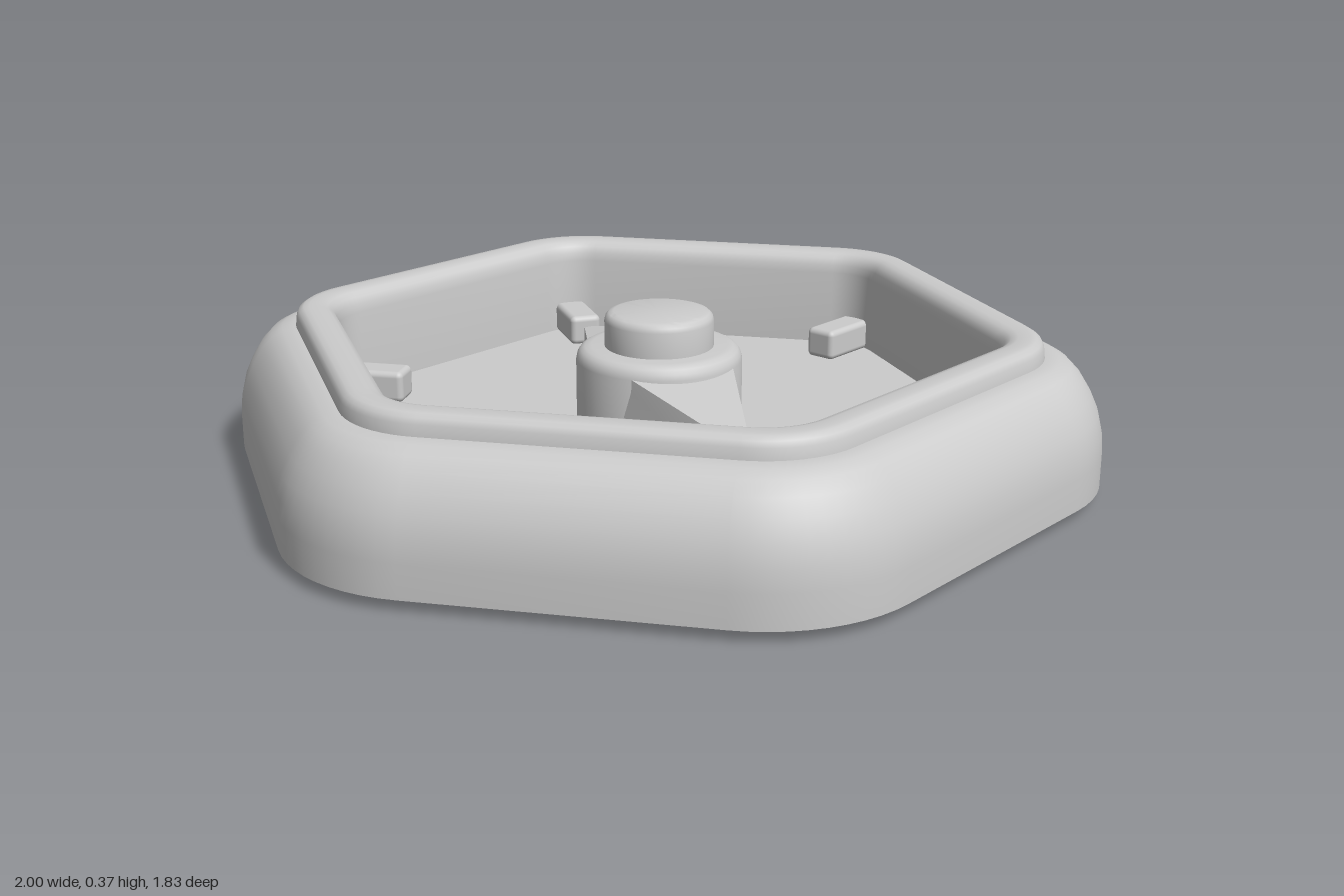
import * as THREE from 'three';
import { toCreasedNormals } from 'three/addons/utils/BufferGeometryUtils.js';
import { RoundedBoxGeometry } from 'three/addons/geometries/RoundedBoxGeometry.js';

const FLOOR_Y = 0.115;
const material = new THREE.MeshStandardMaterial({ color: 0xcccccc, side: THREE.DoubleSide });

function addMesh(parent, name, geometry) {
  const mesh = new THREE.Mesh(geometry, material);
  mesh.name = name;
  parent.add(mesh);
  return mesh;
}

// Outline of a hexagon with rounded corners; corners point along +x and -x.
// All outlines are parallel offsets, so the arc centres are shared.
function hexOutline(apothem, segments = 10) {
  const core = 0.549;
  const radius = apothem - core;
  const points = [];
  for (let k = 0; k < 6; k++) {
    const corner = (k * Math.PI) / 3;
    const cx = (Math.cos(corner) * core) / Math.cos(Math.PI / 6);
    const cy = (Math.sin(corner) * core) / Math.cos(Math.PI / 6);
    for (let i = 0; i <= segments; i++) {
      const a = corner + (i / segments - 0.5) * (Math.PI / 3);
      points.push(new THREE.Vector2(cx + radius * Math.cos(a), cy + radius * Math.sin(a)));
    }
  }
  return points;
}

// Sweep a profile of [apothem, height] pairs around the rounded hexagon.
function hexLoft(profile) {
  const positions = [];
  const index = [];
  let n = 0;
  for (const [apothem, y] of profile) {
    const ring = hexOutline(apothem);
    n = ring.length;
    ring.forEach((p) => positions.push(p.x, y, p.y));
  }
  for (let r = 0; r < profile.length - 1; r++) {
    for (let i = 0; i < n; i++) {
      const j = (i + 1) % n;
      const a = r * n + i, b = r * n + j;
      index.push(a, a + n, b, b, a + n, b + n);
    }
  }
  const geometry = new THREE.BufferGeometry();
  geometry.setAttribute('position', new THREE.Float32BufferAttribute(positions, 3));
  geometry.setIndex(index);
  return toCreasedNormals(geometry, 0.6);
}

// Solid of revolution from [radius, height] pairs.
function lathe(profile) {
  const points = profile.map(([r, y]) => new THREE.Vector2(r, y));
  return toCreasedNormals(new THREE.LatheGeometry(points, 48), 0.7);
}

// One arm of the pointer along +x: tapering to a round tip, top sloping down.
function pointerArm() {
  const length = 0.48, tip = 0.025;
  const shape = new THREE.Shape();
  shape.moveTo(0, -0.19);
  shape.lineTo(length - 0.018, -tip);
  shape.quadraticCurveTo(length + 0.008, 0, length - 0.018, tip);
  shape.lineTo(0, 0.19);
  shape.closePath();
  const geometry = new THREE.ExtrudeGeometry(shape, { depth: 1, bevelEnabled: false, curveSegments: 8 });
  geometry.rotateX(-Math.PI / 2);
  const pos = geometry.attributes.position;
  for (let i = 0; i < pos.count; i++) {
    const top = pos.getY(i) > 0.5;
    pos.setY(i, top ? 0.28 - (0.08 * pos.getX(i)) / length : FLOOR_Y);
    if (top) pos.setZ(i, pos.getZ(i) * 0.88);
  }
  return toCreasedNormals(geometry, 0.6);
}

export function createModel() {
  const model = new THREE.Group();
  model.name = 'hexagonalDial';

  // Thin outer housing, open underneath
  addMesh(model, 'housing', hexLoft([
    [0.915, 0.025], [0.915, 0.1], [0.911, 0.145], [0.9, 0.19], [0.882, 0.23],
    [0.86, 0.265], [0.836, 0.29], [0.81, 0.303], [0.785, 0.306], [0.77, 0.306],
  ]));

  // Raised bezel with an inner wall down to the floor
  addMesh(model, 'bezel', hexLoft([
    [0.778, 0.305], [0.775, 0.33], [0.769, 0.342], [0.758, 0.349], [0.745, 0.35],
    [0.718, 0.35], [0.703, 0.346], [0.69, 0.336], [0.683, 0.32], [0.68, 0.3],
    [0.678, FLOOR_Y],
  ]));

  // Dial floor
  const floor = new THREE.ShapeGeometry(new THREE.Shape(hexOutline(0.68)));
  floor.rotateX(-Math.PI / 2);
  addMesh(model, 'floor', floor).position.y = FLOOR_Y;

  // Six marker pegs at the corners
  const markers = new THREE.Group();
  markers.name = 'markers';
  model.add(markers);
  for (let k = 0; k < 6; k++) {
    const a = (k * Math.PI) / 3;
    const peg = addMesh(markers, 'marker', new RoundedBoxGeometry(0.17, 0.075, 0.08, 3, 0.014));
    peg.position.set(0.695 * Math.cos(a), FLOOR_Y + 0.035, 0.695 * Math.sin(a));
    peg.rotation.y = -a;
  }

  // Double-ended pointer
  const pointer = new THREE.Group();
  pointer.name = 'pointer';
  pointer.rotation.y = -0.994;
  model.add(pointer);
  for (const turn of [0, Math.PI]) {
    addMesh(pointer, 'pointerArm', pointerArm()).rotation.y = turn;
  }

  // Central hub passing through the floor
  addMesh(model, 'hub', lathe([
    [0, 0], [0.19, 0], [0.19, 0.255], [0.187, 0.268], [0.18, 0.278],
    [0.17, 0.284], [0.155, 0.286], [0, 0.286],
  ]));

  // Round cap on the hub
  addMesh(model, 'cap', lathe([
    [0.125, 0.28], [0.125, 0.345], [0.122, 0.355], [0.115, 0.362], [0.104, 0.365], [0, 0.365],
  ]));

  return model;
}
